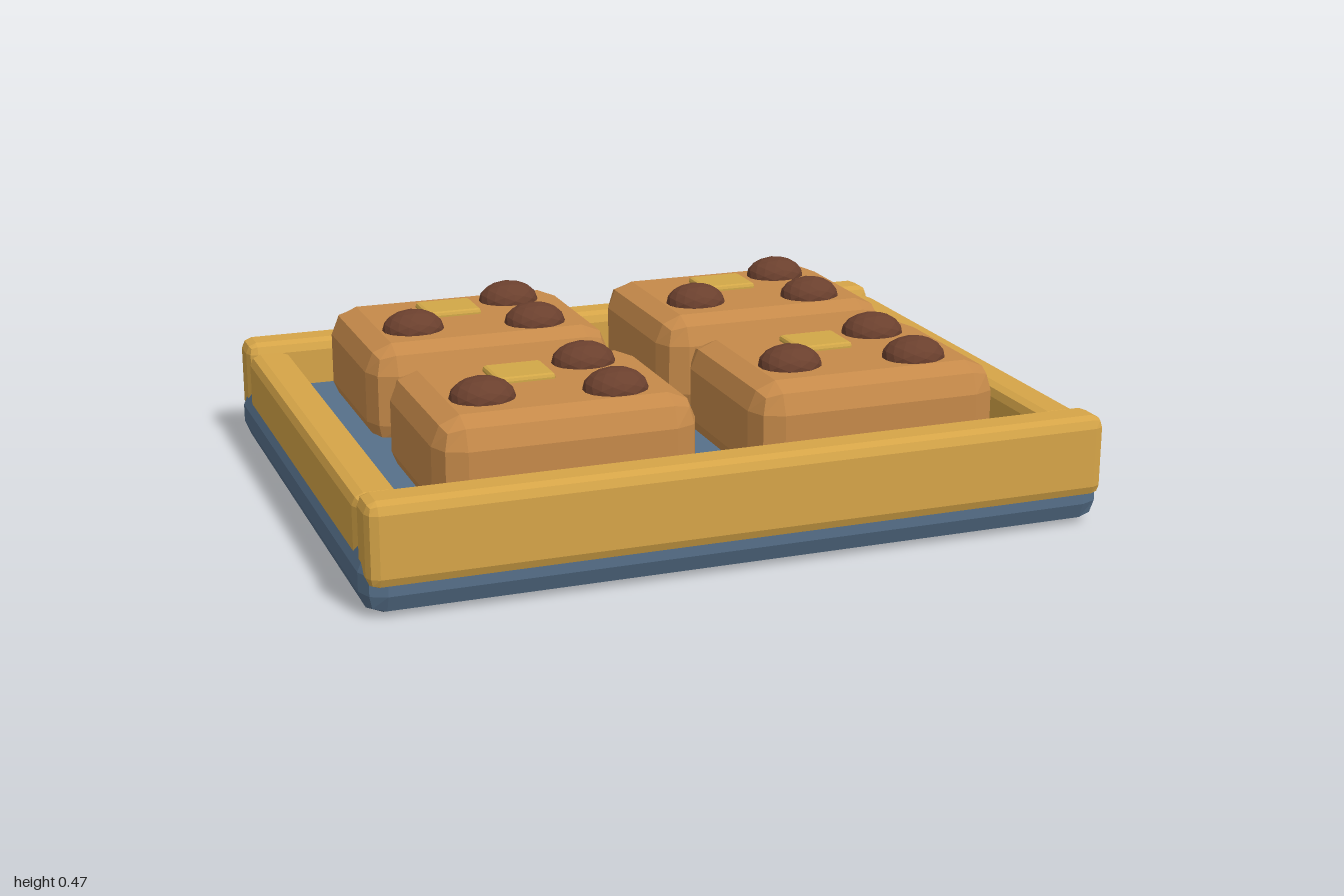
import * as THREE from 'three';
import { RoundedBoxGeometry } from 'three/addons/geometries/RoundedBoxGeometry.js';

const material = (name, color) => {
  const m = new THREE.MeshStandardMaterial({ color });
  m.name = name;
  return m;
};

// Box with two-step bevels and flat facets, spanning y0 to y1
function bevelBox(name, mat, w, d, y0, y1, bevel, x = 0, z = 0) {
  const geometry = new RoundedBoxGeometry(w, y1 - y0, d, 1, bevel);
  geometry.computeVertexNormals();
  const mesh = new THREE.Mesh(geometry, mat);
  mesh.name = name;
  mesh.position.set(x, (y0 + y1) / 2, z);
  return mesh;
}

export function createModel() {
  const blue = material('slate blue', 0x56708a);
  const gold = material('golden wood', 0xd6a548);
  const tan = material('baked tan', 0xc68a4a);
  const brown = material('chocolate brown', 0x6b402e);
  const butter = material('butter yellow', 0xd2a848);

  const model = new THREE.Group();
  model.name = 'tray';

  // Tray floor
  model.add(bevelBox('trayBase', blue, 2, 1.54, 0, 0.17, 0.06));

  // Raised rim
  for (const s of [-1, 1]) {
    model.add(bevelBox(s > 0 ? 'frontRail' : 'backRail', gold, 1.98, 0.125, 0.08, 0.3, 0.03, 0, s * 0.72));
    model.add(bevelBox(s > 0 ? 'leftRail' : 'rightRail', gold, 0.12, 1.32, 0.08, 0.28, 0.03, s * 0.93, 0));
  }

  // Squashed, faceted chip
  const chipGeometry = new THREE.IcosahedronGeometry(1, 2);
  chipGeometry.scale(0.086, 0.054, 0.075);
  chipGeometry.computeVertexNormals();
  const chipSpots = [[-0.18, 0.085], [0.16, -0.13], [0.16, 0.125]];

  // Four cakes, each with three chips and a butter pat
  for (const x of [-0.42, 0.42]) {
    for (const z of [-0.34, 0.34]) {
      const cake = new THREE.Group();
      cake.name = 'cake';
      cake.position.set(x, 0, z);
      cake.add(bevelBox('cakeBody', tan, 0.695, 0.555, 0.13, 0.42, 0.075));
      cake.add(bevelBox('butterPat', butter, 0.16, 0.14, 0.4, 0.435, 0.01, -0.035, -0.075));
      for (const [cx, cz] of chipSpots) {
        const chip = new THREE.Mesh(chipGeometry, brown);
        chip.name = 'chip';
        chip.position.set(cx, 0.421, cz);
        cake.add(chip);
      }
      model.add(cake);
    }
  }
  return model;
}
